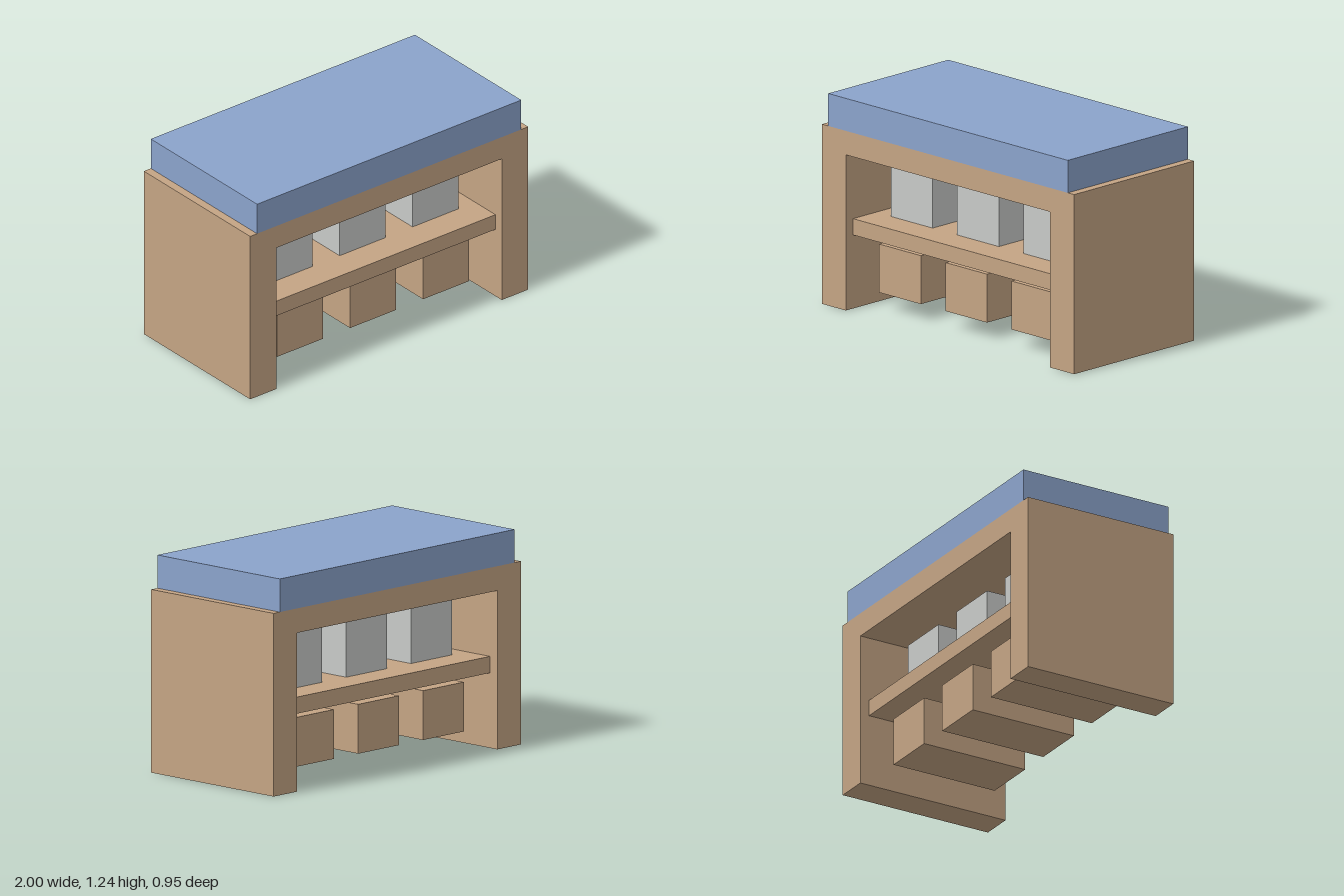
import * as THREE from 'three';

export function createModel() {
  const model = new THREE.Group();
  model.name = 'shelfUnit';

  const material = (name, color) => {
    const m = new THREE.MeshStandardMaterial({ color });
    m.name = name;
    return m;
  };
  const wood = material('tan wood', 0xc4a484);
  const blue = material('soft blue', 0x8ba3cb);
  const grey = material('light grey', 0xc8cac8);

  const add = (name, geometry, mat) => {
    const mesh = new THREE.Mesh(geometry, mat);
    mesh.name = name;
    model.add(mesh);
    return mesh;
  };
  // Box centred on z, given by its width, bottom, top and depth
  const block = (name, mat, x, width, y0, y1, depth) =>
    add(name, new THREE.BoxGeometry(width, y1 - y0, depth), mat)
      .position.set(x, (y0 + y1) / 2, 0);

  const depth = 0.954;

  // Frame: two thick side walls joined by the top, open front and back
  const outline = new THREE.Shape([
    [-1, 0], [-0.81, 0], [-0.81, 0.91], [0.81, 0.91],
    [0.81, 0], [1, 0], [1, 1.05], [-1, 1.05],
  ].map(([x, y]) => new THREE.Vector2(x, y)));
  const frame = new THREE.ExtrudeGeometry(outline, { depth, bevelEnabled: false });
  frame.translate(0, 0, -depth / 2);
  add('frame', frame, wood);

  // Cushion slab on top
  block('topSlab', blue, 0, 1.9, 1.05, 1.24, depth);

  // Shelf between the walls
  block('shelf', wood, 0, 1.62, 0.43, 0.525, 0.84);

  // Three boxes on the shelf and three below it
  ['right', 'middle', 'left'].forEach((side, i) => {
    const x = (i - 1) * 0.525;
    block(`${side}UpperBox`, grey, x, 0.33, 0.525, 0.86, 0.476);
    block(`${side}LowerBox`, wood, x, 0.33, 0.1, 0.383, 0.664);
  });

  return model;
}
